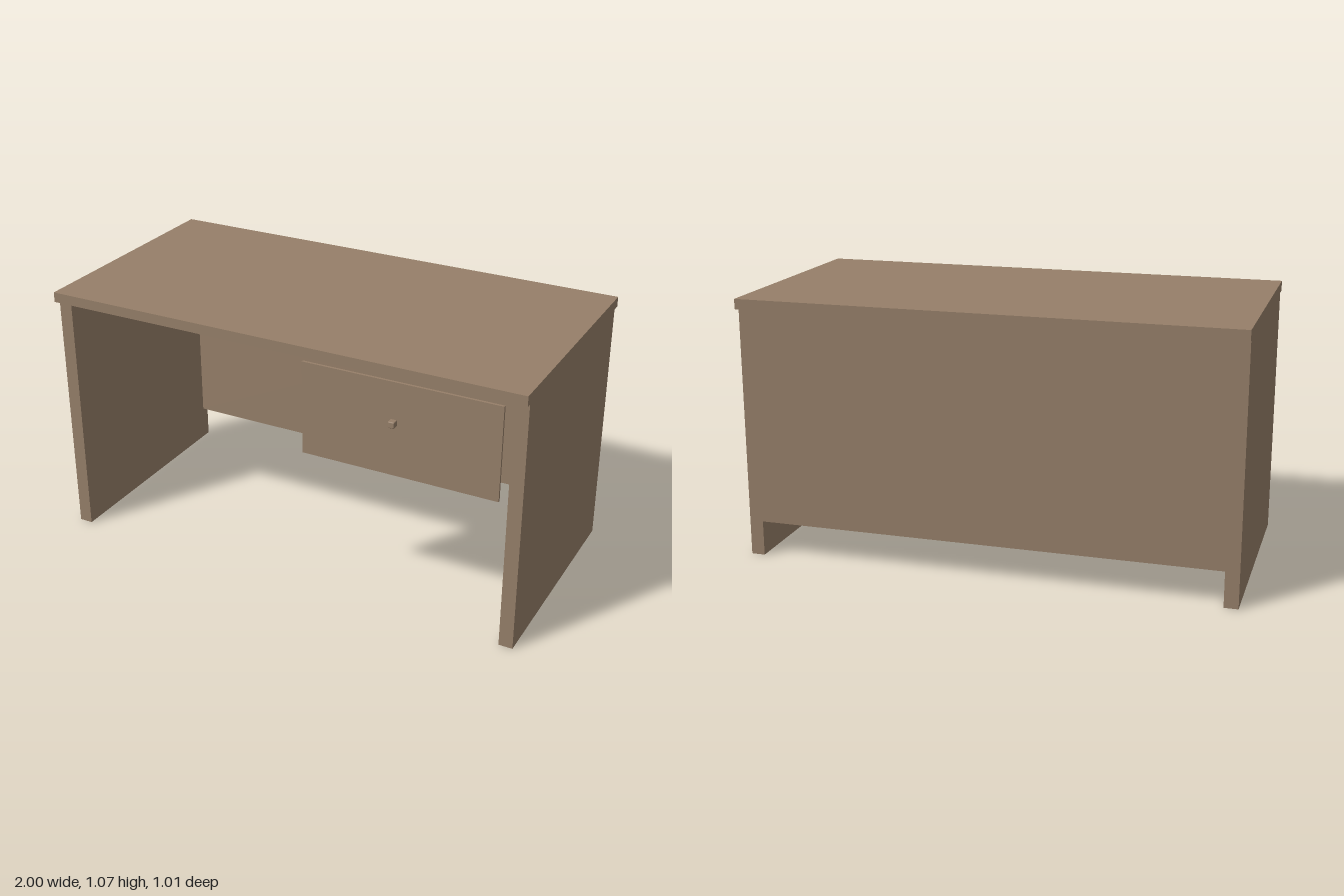
import * as THREE from 'three';
import { RoundedBoxGeometry } from 'three/addons/geometries/RoundedBoxGeometry.js';

export function createModel() {
  const desk = new THREE.Group();
  desk.name = 'desk';
  const wood = new THREE.MeshStandardMaterial({ color: 0x967f69 });

  // Adds a board given its extents along each axis
  function board(name, [x0, x1], [y0, y1], [z0, z1], radius = 0) {
    const size = [x1 - x0, y1 - y0, z1 - z0];
    const geometry = radius
      ? new RoundedBoxGeometry(...size, 2, radius)
      : new THREE.BoxGeometry(...size);
    const mesh = new THREE.Mesh(geometry, wood);
    mesh.name = name;
    mesh.position.set((x0 + x1) / 2, (y0 + y1) / 2, (z0 + z1) / 2);
    desk.add(mesh);
  }

  board('desktop', [-1, 1], [1.027, 1.068], [-0.505, 0.494]);

  // Full-depth side panels that serve as legs
  board('leftSidePanel', [0.942, 0.998], [0, 1.027], [-0.477, 0.465]);
  board('rightSidePanel', [-0.998, -0.942], [0, 1.027], [-0.477, 0.465]);

  // Back panel, flush with the rear edges of the sides
  board('backPanel', [-0.942, 0.942], [0.145, 1.027], [-0.477, -0.441]);

  // Thin drawer front with a small knob standing just ahead of it
  board('drawerFront', [0.112, 0.909], [0.616, 0.997], [0.461, 0.471]);
  board('drawerKnob', [0.483, 0.509], [0.828, 0.854], [0.48, 0.508], 0.004);

  return desk;
}
